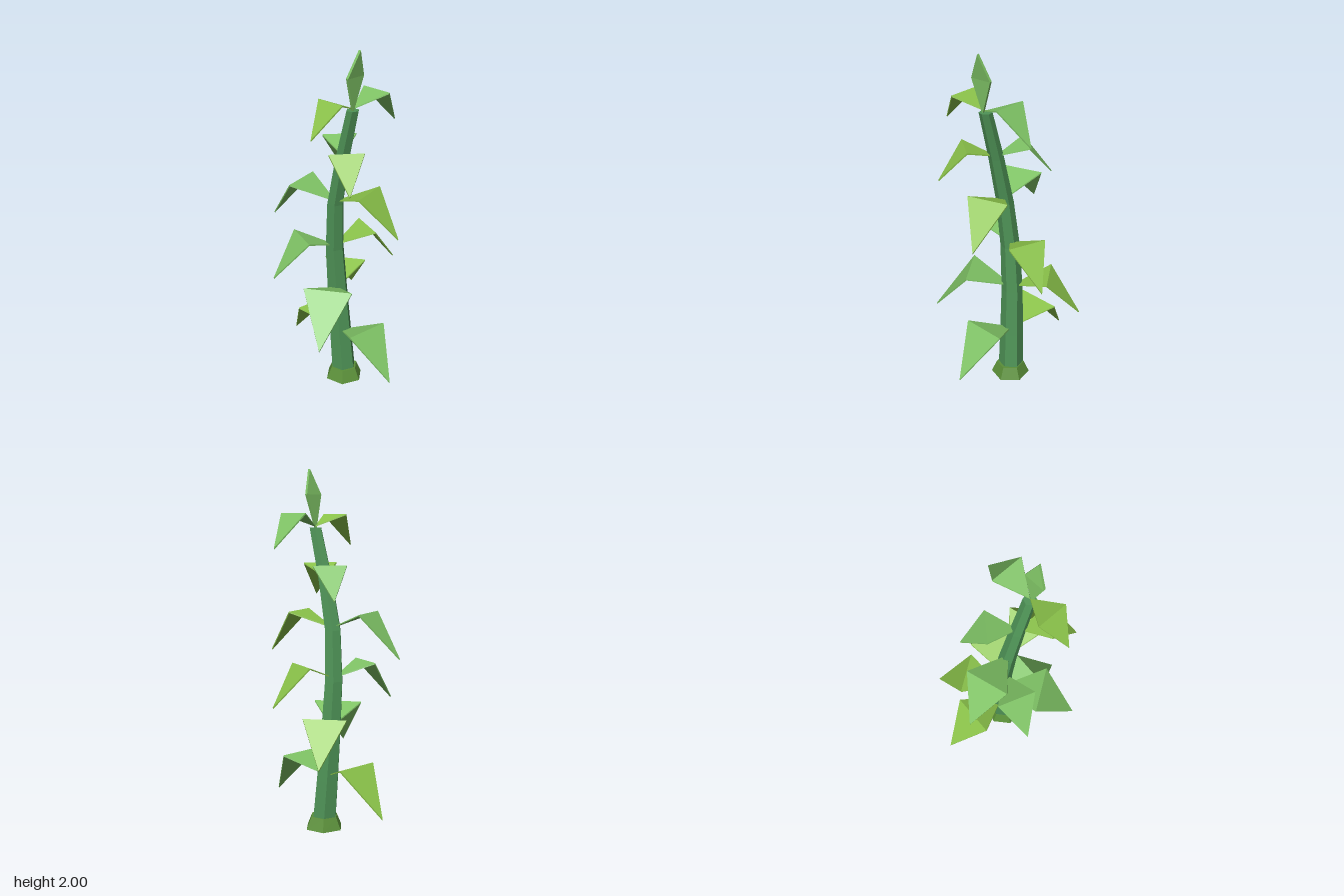
import * as THREE from 'three';

const mat = (name, color) => {
  const m = new THREE.MeshStandardMaterial({ color, flatShading: true });
  m.name = name;
  return m;
};

// Stalk centre line, one point per ring from the ground up
const STALK_HEIGHT = 1.68;
const CENTRES = [
  [0.02, -0.045], [0, -0.038], [-0.018, -0.03], [-0.025, -0.012],
  [-0.005, 0.01], [0.055, 0.027], [0.13, 0.043],
];

function stalkCentre(y) {
  const t = THREE.MathUtils.clamp(y / STALK_HEIGHT, 0, 1) * (CENTRES.length - 1);
  const i = Math.min(Math.floor(t), CENTRES.length - 2);
  const mix = k => THREE.MathUtils.lerp(CENTRES[i][k], CENTRES[i + 1][k], t - i);
  return new THREE.Vector3(mix(0), y, mix(1));
}

// Six-sided tapering stalk, bent along the centre line
function stalkGeometry() {
  const g = new THREE.CylinderGeometry(1, 1, STALK_HEIGHT, 6, CENTRES.length - 1, false, Math.PI / 2);
  g.translate(0, STALK_HEIGHT / 2, 0);
  const p = g.attributes.position;
  for (let i = 0; i < p.count; i++) {
    const y = p.getY(i);
    const c = stalkCentre(y);
    const r = THREE.MathUtils.lerp(0.073, 0.036, y / STALK_HEIGHT);
    p.setXYZ(i, c.x + p.getX(i) * r, y, c.z + p.getZ(i) * r);
  }
  g.computeVertexNormals();
  return g;
}

// Thin kite-shaped blade folded across its widest line
function bladeGeometry(base, fold, tip, angle, width, thickness) {
  const side = new THREE.Vector3(-Math.sin(angle), 0, Math.cos(angle));
  const normal = side.clone().cross(tip.clone().sub(base)).normalize();
  const corners = [
    base,
    fold.clone().addScaledVector(side, width / 2),
    fold.clone().addScaledVector(side, -width / 2),
    tip,
  ];
  const points = [0.5, -0.5].flatMap(s =>
    corners.map(c => c.clone().addScaledVector(normal, s * thickness)));
  const index = [0, 1, 2, 1, 3, 2, 4, 6, 5, 5, 6, 7];
  const rim = [0, 1, 3, 2];
  rim.forEach((a, i) => {
    const b = rim[(i + 1) % 4];
    index.push(a + 4, b + 4, b, a + 4, b, a);
  });
  const g = new THREE.BufferGeometry().setFromPoints(index.map(i => points[i]));
  g.computeVertexNormals();
  return g;
}

export function createModel() {
  const model = new THREE.Group();
  model.name = 'plant';
  const stalkGreen = mat('stalkGreen', 0x4f9457);
  const rootGreen = mat('rootGreen', 0x5a8f38);
  const leafGreen = mat('leafGreen', 0x7fc365);
  const leafLime = mat('leafLime', 0x8bc34a);

  const add = (name, geometry, material) => {
    const mesh = new THREE.Mesh(geometry, material);
    mesh.name = name;
    model.add(mesh);
    return mesh;
  };

  add('stalk', stalkGeometry(), stalkGreen);

  // Flared root collar
  add('rootCollar', new THREE.CylinderGeometry(0.08, 0.11, 0.07, 6, 1, false, Math.PI / 2), rootGreen)
    .position.set(0.02, 0.035, -0.042);

  // Opposite pairs of drooping leaves, turning as they climb
  const lengths = [[0.42, 0.42], [0.445, 0.39], [0.367, 0.367], [0.403, 0.386], [0.304, 0.309], [0.313, 0.288]];
  lengths.forEach((pair, level) => pair.forEach((length, k) => {
    const angle = THREE.MathUtils.degToRad(13.5 + 53.6 * level + 180 * k);
    const base = stalkCentre(0.302 + 0.277 * level);
    const at = (out, up) => base.clone().add(
      new THREE.Vector3(Math.cos(angle) * out, up, Math.sin(angle) * out).multiplyScalar(length));
    add(k ? 'limeLeaf' : 'greenLeaf',
      bladeGeometry(base, at(0.54, 0.22), at(1, -0.375), angle, 0.61 * length, 0.008),
      k ? leafLime : leafGreen);
  }));

  // Upright leaf at the crown
  add('topLeaf', bladeGeometry(
    new THREE.Vector3(0.135, 1.67, 0.053),
    new THREE.Vector3(0.15, 1.86, 0.053),
    new THREE.Vector3(0.178, 2, 0.053), 0.12, 0.122, 0.014), leafGreen);

  return model;
}
